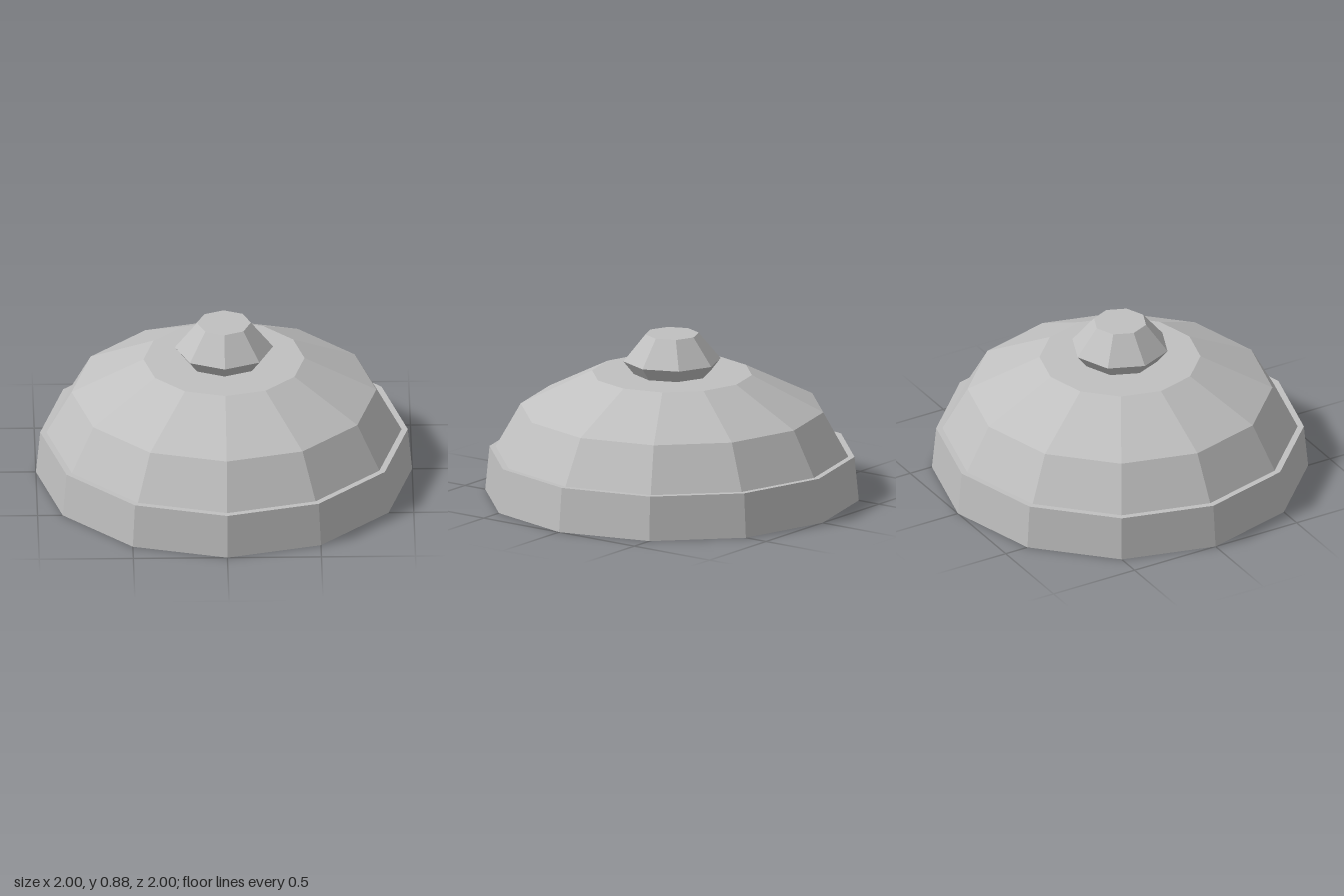
import * as THREE from 'three';

const grey = new THREE.MeshStandardMaterial({ color: 0xc0c0c0, flatShading: true });
grey.name = 'light grey';

// Faceted solid of revolution from [radius, height] pairs, bottom to top
function turned(name, profile, sides) {
  const points = profile.map(([r, y]) => new THREE.Vector2(r, y));
  const geometry = new THREE.LatheGeometry(points, sides).toNonIndexed();
  geometry.computeVertexNormals();
  const mesh = new THREE.Mesh(geometry, grey);
  mesh.name = name;
  return mesh;
}

export function createModel() {
  const group = new THREE.Group();
  group.name = 'domedLid';

  // Base band with a flat underside and a narrow ledge
  group.add(turned('rim', [[0, 0], [1, 0], [0.977, 0.238], [0.944, 0.238]], 12));

  // Stepped dome with a flat top
  group.add(turned('dome', [[0.944, 0.238], [0.81, 0.477], [0.428, 0.67], [0, 0.67]], 12));

  // Octagonal knob, widest near its foot
  group.add(turned('knob', [[0.205, 0.67], [0.261, 0.741], [0.143, 0.885], [0, 0.885]], 8));

  return group;
}
